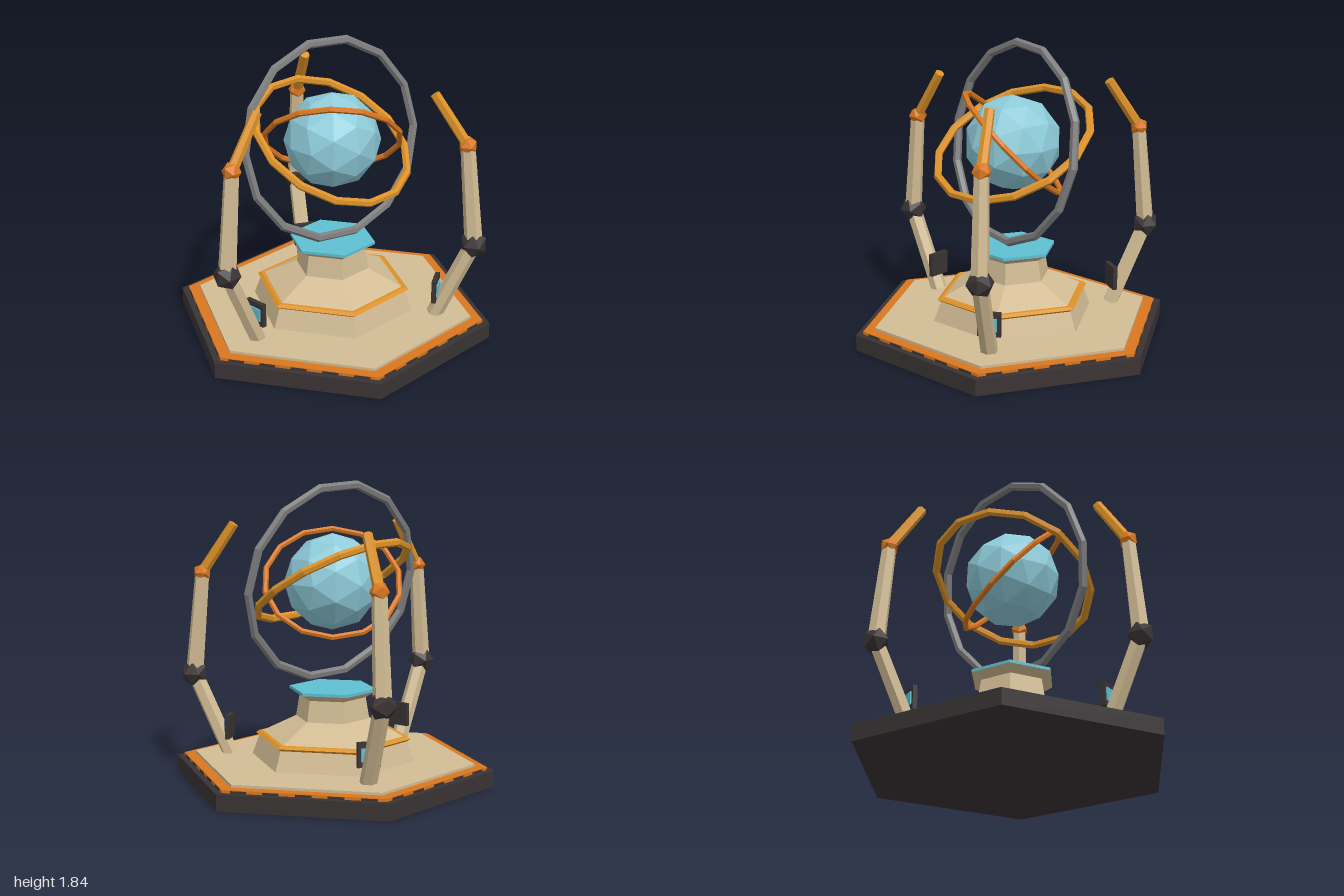
import * as THREE from 'three';

const mat = (name, color) => {
  const m = new THREE.MeshStandardMaterial({ color, flatShading: true });
  m.name = name;
  return m;
};

export function createModel() {
  const dark = mat('charcoal', 0x3a3334);
  const tan = mat('sand', 0xd2bc94);
  const orange = mat('orange', 0xd9771f);
  const gold = mat('gold', 0xdd9228);
  const grey = mat('steel grey', 0x7e7e7e);
  const globeBlue = mat('pale blue', 0x8ecbd9);
  const cyan = mat('cyan', 0x5fc0d2);

  const model = new THREE.Group();
  const add = (parent, name, geometry, material, x = 0, y = 0, z = 0) => {
    const mesh = new THREE.Mesh(geometry, material);
    mesh.name = name;
    mesh.position.set(x, y, z);
    parent.add(mesh);
    return mesh;
  };

  // Hexagonal slab with corners on the z axis
  const hex = (name, material, y0, y1, r0, r1 = r0) =>
    add(model, name, new THREE.CylinderGeometry(r1, r0, y1 - y0, 6), material, 0, (y0 + y1) / 2, 0);

  // Stepped base
  hex('baseSlab', dark, 0, 0.1, 1);
  hex('baseTrim', orange, 0.1, 0.118, 0.955);
  hex('baseDeck', tan, 0.118, 0.134, 0.88);

  // Dark dashes along the sides of the trim
  for (let side = 0; side < 6; side++) {
    const edge = new THREE.Group();
    edge.name = 'trimDashes';
    edge.rotation.y = Math.PI / 6 + (side * Math.PI) / 3;
    for (let i = -2; i <= 2; i++) {
      add(edge, 'dash', new THREE.BoxGeometry(0.095, 0.014, 0.004), dark, i * 0.19, 0.107, 0.828);
    }
    model.add(edge);
  }

  // Pedestal
  hex('pedestalFoot', tan, 0.134, 0.27, 0.51, 0.46);
  hex('pedestalBandLower', gold, 0.255, 0.27, 0.465, 0.487);
  hex('pedestalBandUpper', gold, 0.27, 0.285, 0.487, 0.465);
  hex('pedestalShoulder', tan, 0.28, 0.39, 0.452, 0.23);
  hex('pedestalNeck', tan, 0.39, 0.52, 0.23, 0.208);
  hex('pedestalFlare', tan, 0.52, 0.558, 0.208, 0.27);
  hex('pedestalCap', cyan, 0.558, 0.576, 0.27);

  // Faceted globe
  const cy = 1.228;
  const globe = add(model, 'globe', new THREE.IcosahedronGeometry(0.295, 1), globeBlue, 0, cy, 0);
  globe.rotation.y = 0.3;

  // Tilted rings: radius, tube, tilt about x, tilt about y
  [
    ['outerRing', grey, 0.605, 0.027, -0.18, 0.3],
    ['middleRing', gold, 0.5, 0.025, -1.08, 0.27],
    ['innerRing', orange, 0.415, 0.018, 0.79, -0.19],
  ].forEach(([name, material, radius, tube, rx, ry]) => {
    const ring = add(model, name, new THREE.TorusGeometry(radius, tube, 6, 14), material, 0, cy, 0);
    ring.rotation.set(rx, ry, 0);
  });

  // Three jointed arms, each laid out in its local yz plane with z pointing outward
  const up = new THREE.Vector3(0, 1, 0);
  const strut = (parent, name, material, [y0, z0], [y1, z1], r0, r1) => {
    const a = new THREE.Vector3(0, y0, z0);
    const b = new THREE.Vector3(0, y1, z1);
    const dir = b.clone().sub(a);
    const mesh = add(parent, name, new THREE.CylinderGeometry(r1, r0, dir.length(), 6), material);
    mesh.position.copy(a).add(b).multiplyScalar(0.5);
    mesh.quaternion.setFromUnitVectors(up, dir.normalize());
  };
  for (const angle of [Math.PI, Math.PI / 3, -Math.PI / 3]) {
    const arm = new THREE.Group();
    arm.name = 'arm';
    arm.rotation.y = angle;
    const foot = [0.13, 0.652], elbow = [0.632, 0.88], wrist = [1.265, 0.822], tip = [1.57, 0.617];
    strut(arm, 'lowerArm', tan, foot, elbow, 0.052, 0.05);
    strut(arm, 'upperArm', tan, elbow, wrist, 0.056, 0.045);
    strut(arm, 'emitter', gold, wrist, tip, 0.034, 0.031);
    add(arm, 'elbowJoint', new THREE.IcosahedronGeometry(0.086, 0), dark, 0, ...elbow);
    add(arm, 'wristJoint', new THREE.IcosahedronGeometry(0.059, 0), orange, 0, ...wrist);
    // Control panel on the inner side of the arm
    add(arm, 'panel', new THREE.BoxGeometry(0.14, 0.148, 0.028), dark, 0, 0.304, 0.656);
    add(arm, 'panelScreen', new THREE.BoxGeometry(0.1, 0.08, 0.009), cyan, 0, 0.304, 0.674);
    model.add(arm);
  }

  return model;
}
